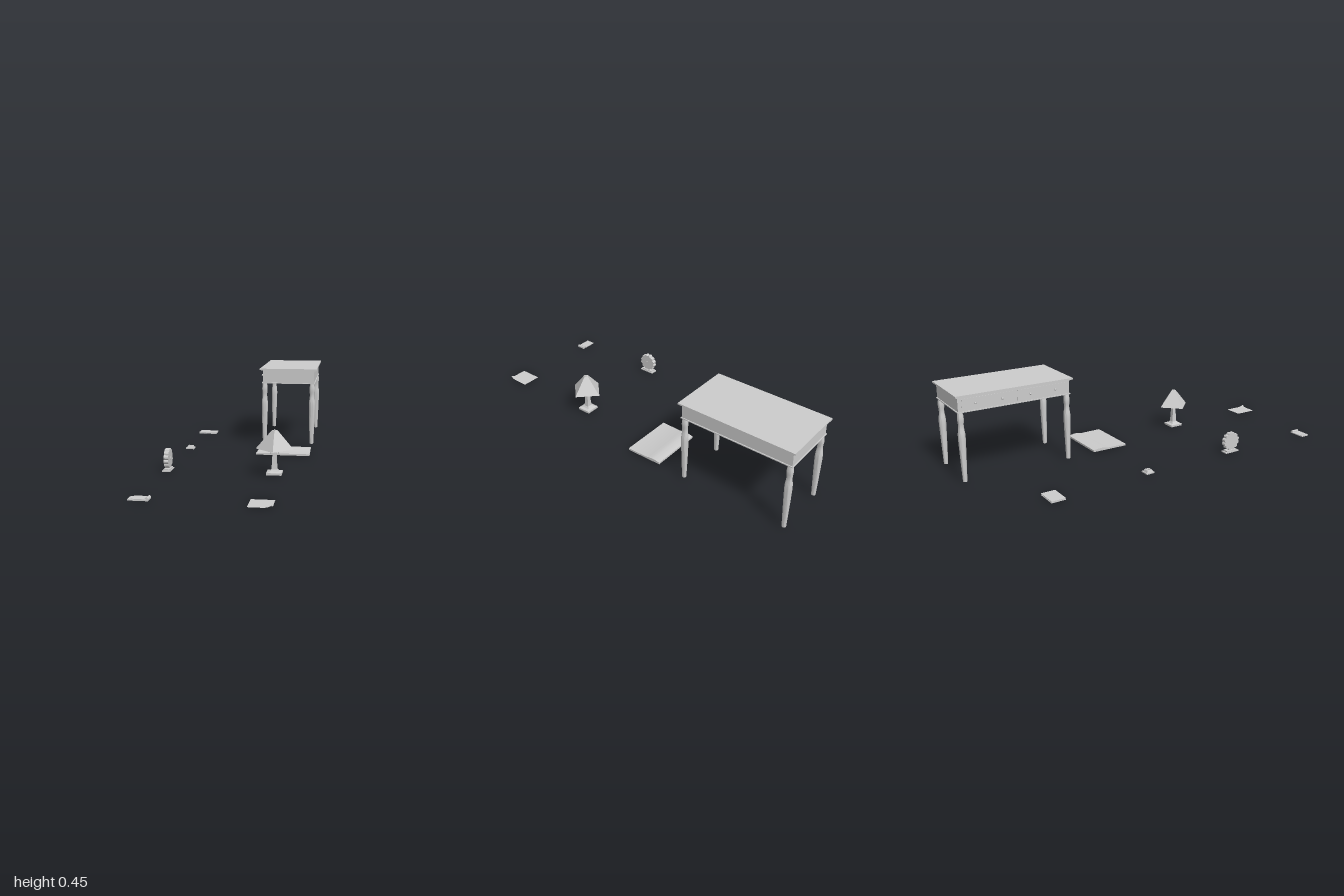
import * as THREE from 'three';
import { toCreasedNormals } from 'three/addons/utils/BufferGeometryUtils.js';

const grey = new THREE.MeshStandardMaterial({ color: 0xcccccc });
const flat = new THREE.MeshStandardMaterial({ color: 0xcccccc, flatShading: true });
const thin = new THREE.MeshStandardMaterial({ color: 0xcccccc, flatShading: true, side: THREE.DoubleSide });

function add(parent, name, geometry, material = flat, x = 0, y = 0, z = 0) {
  const mesh = new THREE.Mesh(geometry, material);
  mesh.name = name;
  mesh.position.set(x, y, z);
  parent.add(mesh);
  return mesh;
}

// box given by its min and max on each axis
function box(parent, name, x0, x1, y0, y1, z0, z1) {
  return add(parent, name, new THREE.BoxGeometry(x1 - x0, y1 - y0, z1 - z0), flat,
    (x0 + x1) / 2, (y0 + y1) / 2, (z0 + z1) / 2);
}

const lathe = (points, sides) =>
  new THREE.LatheGeometry(points.map(([r, y]) => new THREE.Vector2(r, y)), sides);

// outline drawn in (z, y), extruded from x0 to x1
function extrudeAlongX(outline, x0, x1) {
  const shape = new THREE.Shape(outline.map(([z, y]) => new THREE.Vector2(z, y)));
  const g = new THREE.ExtrudeGeometry(shape, { depth: x1 - x0, bevelEnabled: false });
  return toCreasedNormals(g.rotateY(-Math.PI / 2).translate(x1, 0, 0), 0.5);
}

function group(parent, name, x = 0, y = 0, z = 0) {
  const g = new THREE.Group();
  g.name = name;
  g.position.set(x, y, z);
  parent.add(g);
  return g;
}

function buildDesk(root) {
  const desk = group(root, 'desk');
  // top with a stepped edge
  box(desk, 'deskTop', 0.043, 0.381, 0.447, 0.455, -1, -0.37);
  box(desk, 'topMoulding', 0.049, 0.375, 0.443, 0.447, -0.994, -0.376);
  box(desk, 'apron', 0.06, 0.365, 0.37, 0.443, -0.985, -0.385);
  box(desk, 'lowerTrim', 0.055, 0.37, 0.366, 0.371, -0.99, -0.38);

  // turned legs
  const curve = new THREE.SplineCurve([[0.012, 0.368], [0.0165, 0.335], [0.0135, 0.295], [0.0185, 0.25],
    [0.0175, 0.19], [0.0145, 0.1], [0.0115, 0.022], [0.011, 0.007]].map(p => new THREE.Vector2(...p)));
  const profile = curve.getPoints(24).reverse().map(p => [p.x, p.y]);
  const legGeometry = lathe([[0, 0.007], ...profile], 20);
  for (const x of [0.072, 0.354]) for (const z of [-0.972, -0.396]) {
    add(desk, 'leg', toCreasedNormals(legGeometry, 0.8), grey, x, 0, z);
  }

  // two drawers with a pair of knobs each
  const knob = lathe([[0, 0], [0.003, 0], [0.003, 0.006], [0.006, 0.01], [0.005, 0.014], [0, 0.016]], 12);
  knob.rotateZ(Math.PI / 2);
  for (const z of [-0.83, -0.54]) {
    box(desk, 'drawerFront', 0.058, 0.062, 0.38, 0.434, z - 0.135, z + 0.135);
    for (const s of [-1, 1]) add(desk, 'drawerKnob', knob, grey, 0.059, 0.407, z + s * 0.07);
  }
}

function buildLamp(root) {
  const lamp = group(root, 'lamp', 0.212, 0, 0.4);
  box(lamp, 'lampBase', -0.038, 0.038, 0.007, 0.018, -0.038, 0.038);
  // square flared stem
  const stem = lathe([[0.048, 0.018], [0.03, 0.022], [0.02, 0.032], [0.017, 0.06], [0.012, 0.14], [0, 0.14]], 4);
  add(lamp, 'lampStem', stem.rotateY(Math.PI / 4), thin);
  // four-sided shade, open below
  add(lamp, 'lampShade', new THREE.CylinderGeometry(0.014, 0.094, 0.094, 4, 1, true), thin, 0, 0.179, 0);
  add(lamp, 'shadeCap', new THREE.CylinderGeometry(0.014, 0.014, 0.002, 4), flat, 0, 0.225, 0);
  add(lamp, 'lampRod', new THREE.CylinderGeometry(0.003, 0.003, 0.09, 8), grey, 0, 0.182, 0);
  add(lamp, 'finial', new THREE.SphereGeometry(0.004, 8, 6), grey, 0, 0.227, 0);
  // bulbs and pull chains
  for (const s of [-1, 1]) {
    add(lamp, 'bulb', new THREE.SphereGeometry(0.012, 12, 8), grey, s * 0.02, 0.155, 0);
    add(lamp, 'pullChain', new THREE.CylinderGeometry(0.0008, 0.0008, 0.05, 6), grey, s * 0.021, 0.13, 0);
    add(lamp, 'chainBall', new THREE.SphereGeometry(0.0025, 8, 6), grey, s * 0.021, 0.105, 0);
  }
}

function buildCardWheel(root) {
  const wheel = group(root, 'cardWheel', -0.328, 0, 0.396);
  box(wheel, 'wheelBase', -0.02, 0.02, 0.007, 0.013, -0.045, 0.045);
  box(wheel, 'wheelFoot', -0.016, 0.016, 0.013, 0.019, -0.035, 0.035);
  // scalloped disc with a hub
  const outline = [];
  for (let i = 0; i < 48; i++) {
    const a = i / 48 * Math.PI * 2;
    const r = 0.044 + 0.007 * Math.abs(Math.sin(a * 6));
    outline.push([r * Math.sin(a), 0.069 + r * Math.cos(a)]);
  }
  add(wheel, 'scallopedDisc', extrudeAlongX(outline, -0.012, 0.012));
  const hub = new THREE.CylinderGeometry(0.008, 0.008, 0.028, 16).rotateZ(Math.PI / 2);
  add(wheel, 'wheelHub', hub, flat, 0, 0.069, 0);
}

function buildInkwell(root) {
  const ink = group(root, 'inkwell', -0.331, 0, -0.15);
  box(ink, 'inkwellBase', -0.024, 0.024, 0.007, 0.013, -0.024, 0.024);
  // hollow sloping well
  const well = lathe([[0.027, 0.013], [0.02, 0.025], [0.013, 0.025], [0.011, 0.014], [0, 0.014]], 4);
  add(ink, 'inkwellBody', well.rotateY(Math.PI / 4), thin);
}

function buildDeskPad(root) {
  // slab with a gentle swell along its back edge
  const outline = [[-0.035, 0.007], [-0.035, 0.017]];
  for (let i = 0; i <= 12; i++) {
    const t = i / 12;
    outline.push([-0.15 - 0.088 * t, 0.017 + 0.006 * Math.sin(Math.PI * t)]);
  }
  outline.push([-0.238, 0.007]);
  const g = extrudeAlongX(outline, 0.066, 0.362);
  // narrows slightly toward the back
  const p = g.attributes.position;
  for (let i = 0; i < p.count; i++) {
    const k = 1 + (p.getZ(i) + 0.035) * 0.12;
    p.setX(i, 0.214 + (p.getX(i) - 0.214) * k);
  }
  add(group(root, 'deskPad'), 'padBody', g, grey);
}

function buildNotebook(root) {
  const book = group(root, 'notebook');
  box(book, 'lowerCover', -0.384, -0.272, 0.002, 0.004, -0.726, -0.65);
  box(book, 'pages', -0.382, -0.275, 0.004, 0.009, -0.723, -0.653);
  box(book, 'upperCover', -0.384, -0.272, 0.009, 0.011, -0.726, -0.65);
}

function buildRolledPad(root) {
  const pad = group(root, 'rolledPad');
  box(pad, 'padSlab', -0.37, -0.277, 0.002, 0.008, 0.906, 0.956);
  box(pad, 'padStep', -0.355, -0.295, 0.006, 0.01, 0.9, 0.953);
  // roll across one end
  const roll = new THREE.CylinderGeometry(0.007, 0.007, 0.046, 16).rotateX(Math.PI / 2);
  add(pad, 'endRoll', roll, flat, -0.284, 0.009, 0.93);
}

function buildPaper(root) {
  // sheet with one corner curling up
  const g = new THREE.PlaneGeometry(0.107, 0.125, 10, 10).rotateX(-Math.PI / 2);
  const p = g.attributes.position;
  for (let i = 0; i < p.count; i++) {
    const lift = Math.max(0, p.getX(i) + p.getZ(i) - 0.08);
    p.setY(i, lift * lift * 9);
    p.setX(i, p.getX(i) - lift * 0.1);
  }
  g.computeVertexNormals();
  const sheet = new THREE.MeshStandardMaterial({ color: 0xcccccc, side: THREE.DoubleSide });
  add(group(root, 'paper'), 'paperSheet', g, sheet, 0.2105, 0.007, 0.9375);
}

export function createModel() {
  const root = new THREE.Group();
  root.name = 'deskSet';
  for (const build of [buildDesk, buildLamp, buildCardWheel, buildInkwell,
    buildDeskPad, buildNotebook, buildRolledPad, buildPaper]) build(root);
  return root;
}
